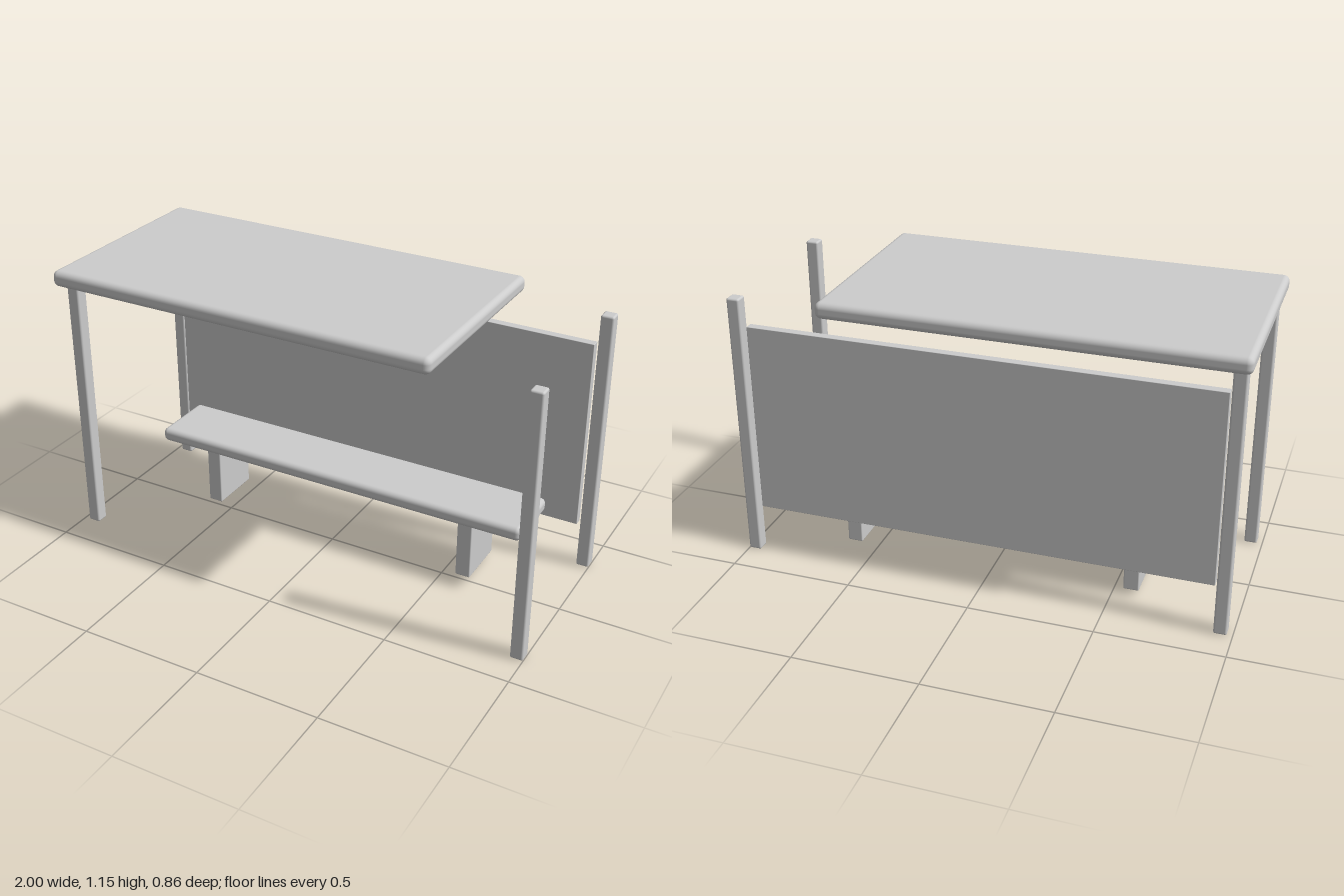
import * as THREE from 'three';
import { RoundedBoxGeometry } from 'three/addons/geometries/RoundedBoxGeometry.js';

export function createModel() {
  const group = new THREE.Group();
  group.name = 'benchShelter';
  const grey = new THREE.MeshStandardMaterial({ color: 0xcccccc });
  grey.name = 'light grey';

  // Rounded slab given by its extents on each axis
  function slab(name, [x0, x1], [y0, y1], [z0, z1], radius) {
    const geometry = new RoundedBoxGeometry(x1 - x0, y1 - y0, z1 - z0, 4, radius);
    const mesh = new THREE.Mesh(geometry, grey);
    mesh.name = name;
    mesh.position.set((x0 + x1) / 2, (y0 + y1) / 2, (z0 + z1) / 2);
    group.add(mesh);
  }

  // Roof, offset to the right so the left posts stand free
  slab('roof', [-1, 0.61], [1.085, 1.15], [-0.428, 0.428], 0.024);

  // Four corner posts
  for (const [side, x] of [['right', -0.952], ['left', 0.974]]) {
    for (const [end, z] of [['Front', 0.344], ['Back', -0.344]]) {
      slab(side + end + 'Post', [x - 0.026, x + 0.026], [0, 1.099], [z - 0.026, z + 0.026], 0.008);
    }
  }

  // Back wall panel between the rear posts
  slab('backPanel', [-0.917, 0.938], [0.193, 0.98], [-0.344, -0.31], 0.002);

  // Bench seat on two block legs
  slab('benchSeat', [-0.813, 0.83], [0.265, 0.323], [-0.24, 0.035], 0.021);
  for (const [side, x] of [['right', -0.573], ['left', 0.593]]) {
    slab(side + 'BenchLeg', [x - 0.031, x + 0.031], [0.021, 0.285], [-0.213, 0.008], 0.005);
  }

  return group;
}
